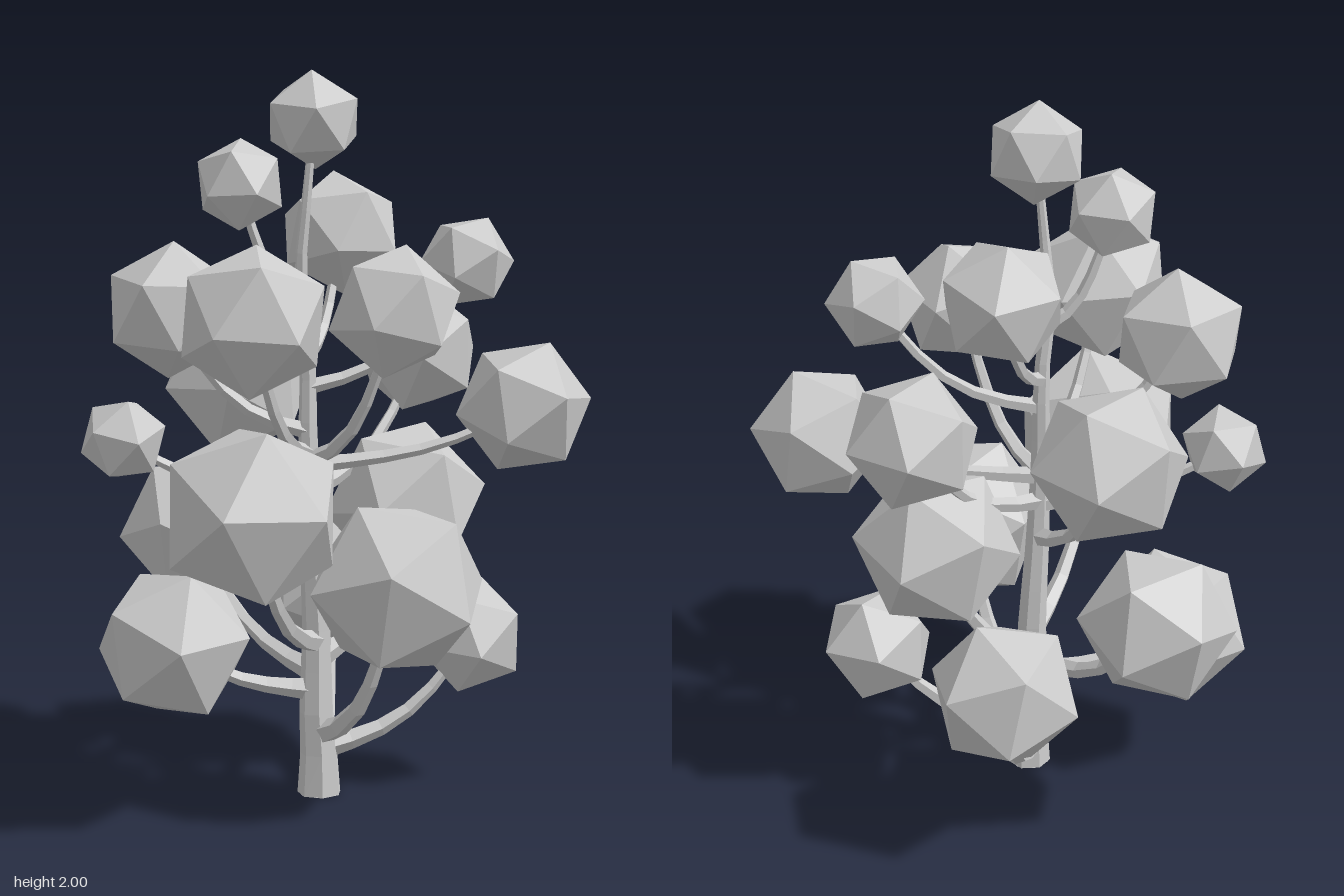
import * as THREE from 'three';

const V = (x, y, z) => new THREE.Vector3(x, y, z);

// Each leaf cluster: centre x, y, z, radius, height where its branch leaves the trunk,
// then optionally the directions of two neighbouring corners
const CLUSTERS = [
  [-0.27, 1.70, 0.01, 0.128, 1.38],
  [0.035, 1.547, -0.215, 0.178, 1.22],
  [0.36, 1.48, -0.03, 0.133, 1.14],
  [-0.455, 1.36, -0.03, 0.188, 1.02],
  [-0.272, 1.365, 0.31, 0.208, 0.95],
  [0.115, 1.375, 0.22, 0.182, 0.94],
  [0.515, 1.08, 0.01, 0.192, 0.93, V(1, 0.1, 0), V(0.35, 1, 0.1)],
  [0.275, 1.20, -0.30, 0.186, 0.85, V(0.1, 0, -1), V(1, 0, -0.3)],
  [-0.24, 1.12, -0.315, 0.22, 0.74, V(-0.6, 0.45, -0.6), V(-0.4, 0.83, 0.35)],
  [-0.59, 1.01, -0.02, 0.122, 0.84],
  [-0.46, 0.44, 0.0, 0.225, 0.29, V(0, 0.1, 1), V(0.2, 1, 0.5)],
  [-0.285, 0.87, 0.385, 0.257, 0.42, V(-0.1, 0.03, 0.235), V(0.02, 0.236, 0.125)],
  [0.11, 0.65, 0.31, 0.25, 0.16, V(0.235, 0, -0.06), V(0.07, -0.235, -0.01)],
  [0.21, 0.80, -0.14, 0.232, 0.38],
  [0.375, 0.43, -0.02, 0.165, 0.13],
  [0.045, 0.503, -0.43, 0.213, 0.05, V(0, -0.09, -0.19), V(-0.05, 0.18, -0.1)],
  [-0.365, 0.68, -0.40, 0.216, 0.34, V(-0.2, -0.02, -0.01), V(-0.09, 0.05, -0.19)],
];

// Small seeded generator for the remaining cluster rotations
function seeded(seed) {
  return () => {
    seed = (seed * 16807) % 2147483647;
    return seed / 2147483647;
  };
}

// Right-angled frame with its first axis along a and its second leaning to b
function frame(a, b) {
  const x = a.clone().normalize();
  const z = x.clone().cross(b).normalize();
  return new THREE.Matrix4().makeBasis(x, z.clone().cross(x), z);
}

// Low-poly tube that tapers from radius r0 to r1, fastest near its foot
function taperedTube(curve, segments, sides, r0, r1) {
  const geo = new THREE.TubeGeometry(curve, segments, 1, sides, false);
  const pos = geo.attributes.position;
  const p = V(0, 0, 0);
  for (let i = 0; i <= segments; i++) {
    const centre = curve.getPointAt(i / segments);
    const r = THREE.MathUtils.lerp(r0, r1, (i / segments) ** 0.65);
    for (let j = 0; j <= sides; j++) {
      const k = i * (sides + 1) + j;
      p.fromBufferAttribute(pos, k).sub(centre).multiplyScalar(r).add(centre);
      pos.setXYZ(k, p.x, p.y, p.z);
    }
  }
  return geo;
}

export function createModel() {
  const tree = new THREE.Group();
  tree.name = 'tree';
  const material = new THREE.MeshStandardMaterial({
    color: 0xcccccc, flatShading: true, side: THREE.DoubleSide,
  });
  const add = (name, geometry) => {
    const mesh = new THREE.Mesh(geometry, material);
    mesh.name = name;
    tree.add(mesh);
    return mesh;
  };

  // Trunk, gently wandering up to the crown
  const trunk = new THREE.CatmullRomCurve3([
    V(-0.057, 0, 0.012), V(-0.057, 0.1, 0.012), V(-0.065, 0.25, 0.01),
    V(-0.062, 0.45, 0), V(-0.075, 0.7, 0), V(-0.085, 1.0, 0),
    V(-0.085, 1.25, -0.01), V(-0.105, 1.45, 0), V(-0.09, 1.65, 0.01), V(-0.07, 1.86, 0.01),
  ]);
  add('trunk', taperedTube(trunk, 16, 7, 0.062, 0.01));
  const base = add('trunkBase', new THREE.CircleGeometry(0.06, 7));
  base.rotation.x = Math.PI / 2;
  base.position.set(-0.057, 0.001, 0.012);
  const trunkPoints = trunk.getSpacedPoints(200);
  const trunkAt = (y) => trunkPoints.find((p) => p.y >= y);

  // Leaf clusters, turned so that two neighbouring corners point along a and b
  const random = seeded(4711);
  const anyDirection = () => V(random() - 0.5, random() - 0.5, random() - 0.5);
  const golden = (1 + Math.sqrt(5)) / 2;
  const unturn = frame(V(-1, golden, 0), V(1, golden, 0)).transpose();
  const addCluster = (x, y, z, r, a = anyDirection(), b = anyDirection()) => {
    const ball = add('leafCluster', new THREE.IcosahedronGeometry(r, 0));
    ball.position.set(x, y, z);
    ball.quaternion.setFromRotationMatrix(frame(a, b).multiply(unturn));
  };
  addCluster(-0.07, 1.87, 0.008, 0.137);

  // Branches leave sideways, then curve up into their clusters
  for (const [x, y, z, r, startY, a, b] of CLUSTERS) {
    addCluster(x, y, z, r, a, b);
    const start = trunkAt(startY);
    const end = V(x, y, z);
    const along = (out, up) => V(
      THREE.MathUtils.lerp(start.x, x, out),
      THREE.MathUtils.lerp(start.y, y, up),
      THREE.MathUtils.lerp(start.z, z, out),
    );
    const path = new THREE.CatmullRomCurve3([
      start, along(0.3, 0.1), along(0.55, 0.27), along(0.8, 0.6), end,
    ]);
    const thick = THREE.MathUtils.lerp(0.04, 0.02, Math.min(startY / 1.3, 1));
    add('branch', taperedTube(path, 6, 5, thick, 0.012));
  }

  return tree;
}
